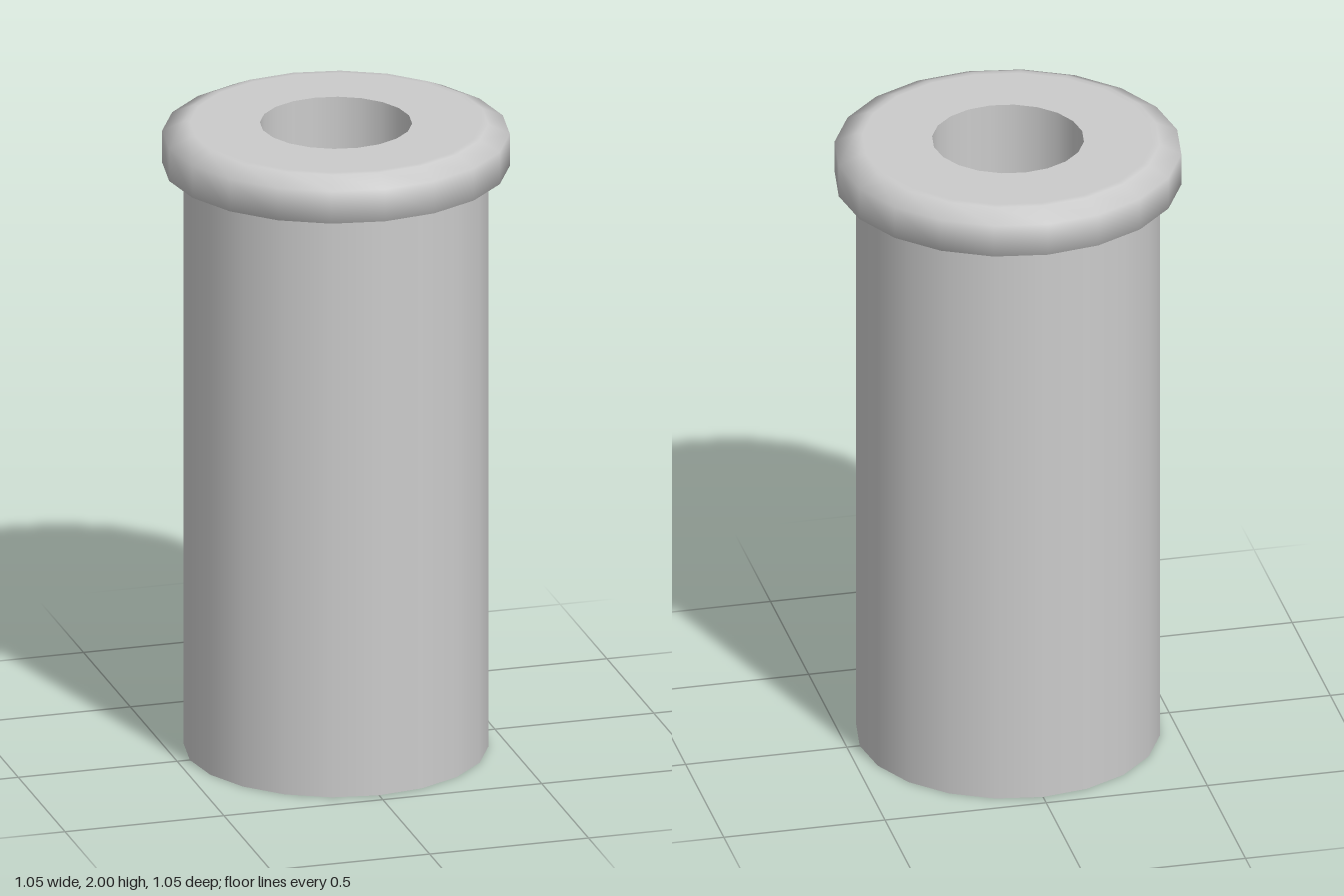
import * as THREE from 'three';

const SIDES = 20;

export function createModel() {
  const group = new THREE.Group();
  const material = new THREE.MeshStandardMaterial({ color: 0xcccccc, side: THREE.DoubleSide });

  // Revolves a profile of [radius, height] pairs around the y axis
  const addTurned = (name, profile) => {
    const points = profile.map(([r, y]) => new THREE.Vector2(r, y));
    const mesh = new THREE.Mesh(new THREE.LatheGeometry(points, SIDES), material);
    mesh.name = name;
    group.add(mesh);
  };

  // Outer wall, open at the bottom
  addTurned('outerSleeve', [[0.46, 0], [0.46, 1.845]]);

  // Rounded flange with a flat annular top
  addTurned('flange', [
    [0.46, 1.845], [0.525, 1.867], [0.525, 1.97], [0.46, 2], [0.44, 2], [0.23, 2],
  ]);

  // Thin inner tube running the full height, open at both ends
  addTurned('innerTube', [[0.23, 2], [0.23, 0]]);

  return group;
}
